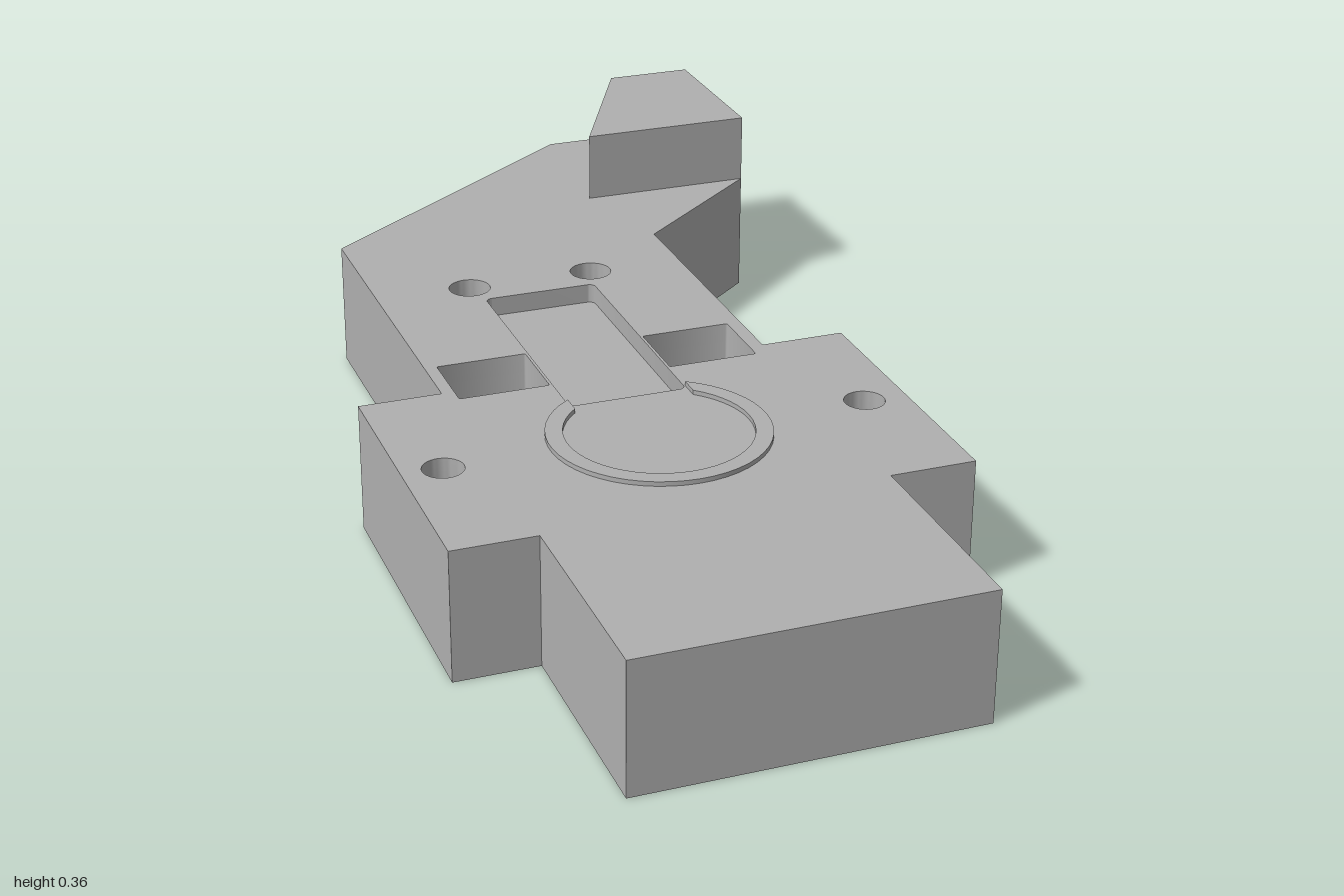
import * as THREE from 'three';
import { toCreasedNormals } from 'three/addons/utils/BufferGeometryUtils.js';

const H = 0.23; // plate thickness
const TOP = 0.36; // clamp block height

const polygon = (pts) => new THREE.Shape(pts.map(([x, y]) => new THREE.Vector2(x, y)));

// Points given as plan (x, z); the shape's y axis is -z.
const plan = (pts) => polygon(pts.map(([x, z]) => [x, -z]));

function circle(x, y, r) {
  const p = new THREE.Path();
  p.absarc(x, y, r, 0, Math.PI * 2, true);
  return p;
}

function roundedRect(x0, z0, x1, z1, r) {
  const p = new THREE.Path();
  const a = -z1, b = -z0, q = Math.PI / 2;
  p.absarc(x0 + r, a + r, r, 2 * q, 3 * q);
  p.absarc(x1 - r, a + r, r, 3 * q, 4 * q);
  p.absarc(x1 - r, b - r, r, 0, q);
  p.absarc(x0 + r, b - r, r, q, 2 * q);
  p.closePath();
  return p;
}

function extrude(shape, depth) {
  return new THREE.ExtrudeGeometry(shape, { depth, bevelEnabled: false, curveSegments: 20 });
}

export function createModel() {
  const group = new THREE.Group();
  const grey = new THREE.MeshStandardMaterial({ color: 0xb0b0b0 });
  grey.name = 'plain grey';

  const add = (name, geo) => {
    const mesh = new THREE.Mesh(toCreasedNormals(geo, 0.6), grey);
    mesh.name = name;
    group.add(mesh);
  };
  const addFlat = (name, shape, y0, y1) =>
    add(name, extrude(shape, y1 - y0).rotateX(-Math.PI / 2).translate(0, y0, 0));

  // Plate outline, leaving out the corner taken by the clamp block
  const outline = [
    [-0.355, 1], [0.23, 1], [0.23, 0.615], [0.38, 0.615], [0.38, 0.085], [0.23, 0.085],
    [0.23, -0.46], [0.5, -0.68], [0.38, -0.68], [0.38, -1], [0.2, -1], [-0.355, -0.593],
    [-0.355, 0.085], [-0.5, 0.085], [-0.5, 0.615], [-0.355, 0.615],
  ];
  const boltHoles = [[-0.18, -0.33, 0.038], [0.055, -0.33, 0.038], [-0.43, 0.35, 0.035], [0.305, 0.35, 0.035]];
  const pockets = [[-0.333, -0.173], [0.045, 0.205]];

  // Plate in three layers: through holes, then side pockets, then the shallow slot
  [['plateBase', 0, 0.12], ['plateMiddle', 0.12, 0.195], ['plateTop', 0.195, H]].forEach(([name, y0, y1], i) => {
    const shape = plan(outline);
    boltHoles.forEach(([x, z, r]) => shape.holes.push(circle(x, -z, r)));
    if (i > 0) pockets.forEach(([x0, x1]) => shape.holes.push(roundedRect(x0, -0.02, x1, 0.115, 0.003)));
    if (i > 1) shape.holes.push(roundedRect(-0.168, -0.27, 0.04, 0.205, 0.012));
    addFlat(name, shape, y0, y1);
  });

  // Raised ring, open where the slot meets it
  const cx = -0.0625, cz = 0.35, R = 0.1875, r = 0.158, gap = 0.105;
  const outer = Math.acos(gap / R), inner = Math.acos(gap / r);
  const ring = new THREE.Shape();
  ring.absarc(cx, -cz, R, Math.PI - outer, Math.PI * 2 + outer, false);
  ring.absarc(cx, -cz, r, Math.PI * 2 + inner, Math.PI - inner, true);
  ring.closePath();
  addFlat('locatingRing', ring, H, 0.238);

  // Slanted raised part beside the clamp block
  addFlat('raisedWedge', plan([[0.175, -0.68], [0.38, -0.68], [0.38, -1], [0.335, -1]]), H, TOP);

  // Clamp block in slices along z: screw holes, nut slots open to +x, blind ends
  const rect = [[0.38, 0], [0.5, 0], [0.5, TOP], [0.38, TOP]];
  const comb = [
    [0.38, 0], [0.5, 0], [0.5, 0.025], [0.385, 0.025], [0.385, 0.155], [0.5, 0.155],
    [0.5, 0.218], [0.385, 0.218], [0.385, 0.347], [0.5, 0.347], [0.5, TOP], [0.38, TOP],
  ];
  const slices = [
    ['clampBack', rect, -1, -0.826, true],
    ['clampNutSlots', comb, -0.826, -0.762, false],
    ['clampInner', rect, -0.762, -0.72, true],
    ['clampFront', rect, -0.72, -0.68, false],
  ];
  slices.forEach(([name, pts, z0, z1, drilled]) => {
    const shape = polygon(pts);
    if (drilled) [0.09, 0.2825].forEach((y) => shape.holes.push(circle(0.44, y, 0.036)));
    add(name, extrude(shape, z1 - z0).translate(0, 0, z0));
  });

  return group;
}
